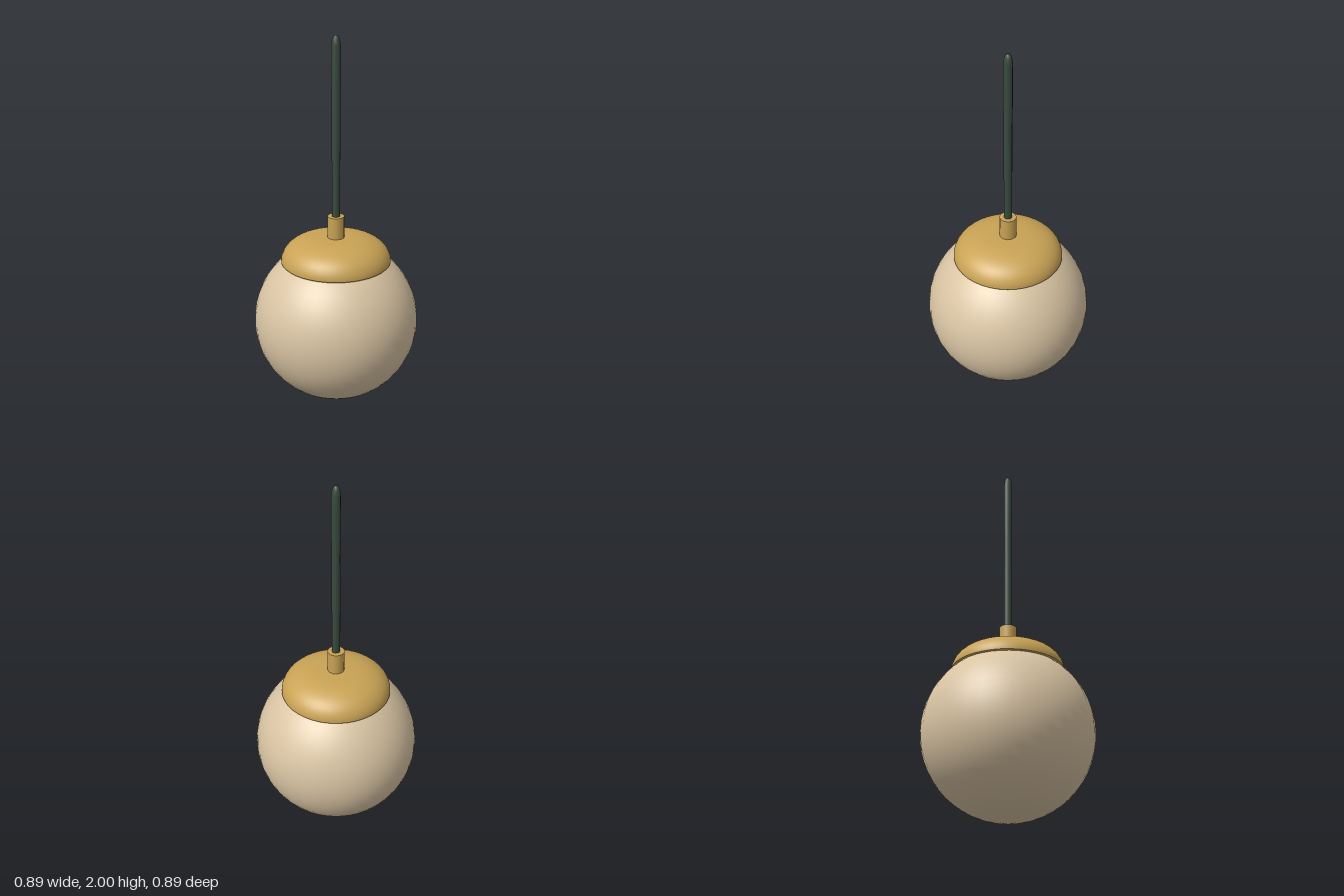
import * as THREE from 'three';

const material = (name, color) => {
  const m = new THREE.MeshStandardMaterial({ color });
  m.name = name;
  return m;
};

// Surface of revolution from [radius, height] pairs, listed bottom to top
const lathe = (points, sides) =>
  new THREE.LatheGeometry(points.map(([r, y]) => new THREE.Vector2(r, y)), sides);

export function createModel() {
  const group = new THREE.Group();
  const glass = material('cream glass', 0xdac5a4);
  const brass = material('brass', 0xc9a355);
  const cable = material('dark green cable', 0x394a3d);

  const add = (name, geometry, mat, y = 0) => {
    const mesh = new THREE.Mesh(geometry, mat);
    mesh.name = name;
    mesh.position.y = y;
    group.add(mesh);
  };

  // Round glass shade
  add('globe', new THREE.SphereGeometry(0.445, 40, 28), glass, 0.447);

  // Domed metal cap with a small lip resting on the globe
  const dome = new THREE.SplineCurve([
    [0.295, 0.793], [0.291, 0.82], [0.272, 0.856], [0.235, 0.889],
    [0.18, 0.912], [0.11, 0.924], [0, 0.927],
  ].map(([r, y]) => new THREE.Vector2(r, y)));
  add('capDome', new THREE.LatheGeometry(dome.getPoints(18), 40), brass);
  add('capRim', lathe([[0.27, 0.79], [0.29, 0.788], [0.295, 0.793]], 40), brass);

  // Cable holder
  add('neck', new THREE.CylinderGeometry(0.046, 0.046, 0.13, 12), brass, 0.98);

  // Hanging cable with a rounded tip
  add('cord', lathe([
    [0.022, 1.0], [0.022, 1.6], [0.024, 1.75], [0.024, 1.95],
    [0.019, 1.98], [0.011, 1.996], [0, 2.0],
  ], 10), cable);

  return group;
}
